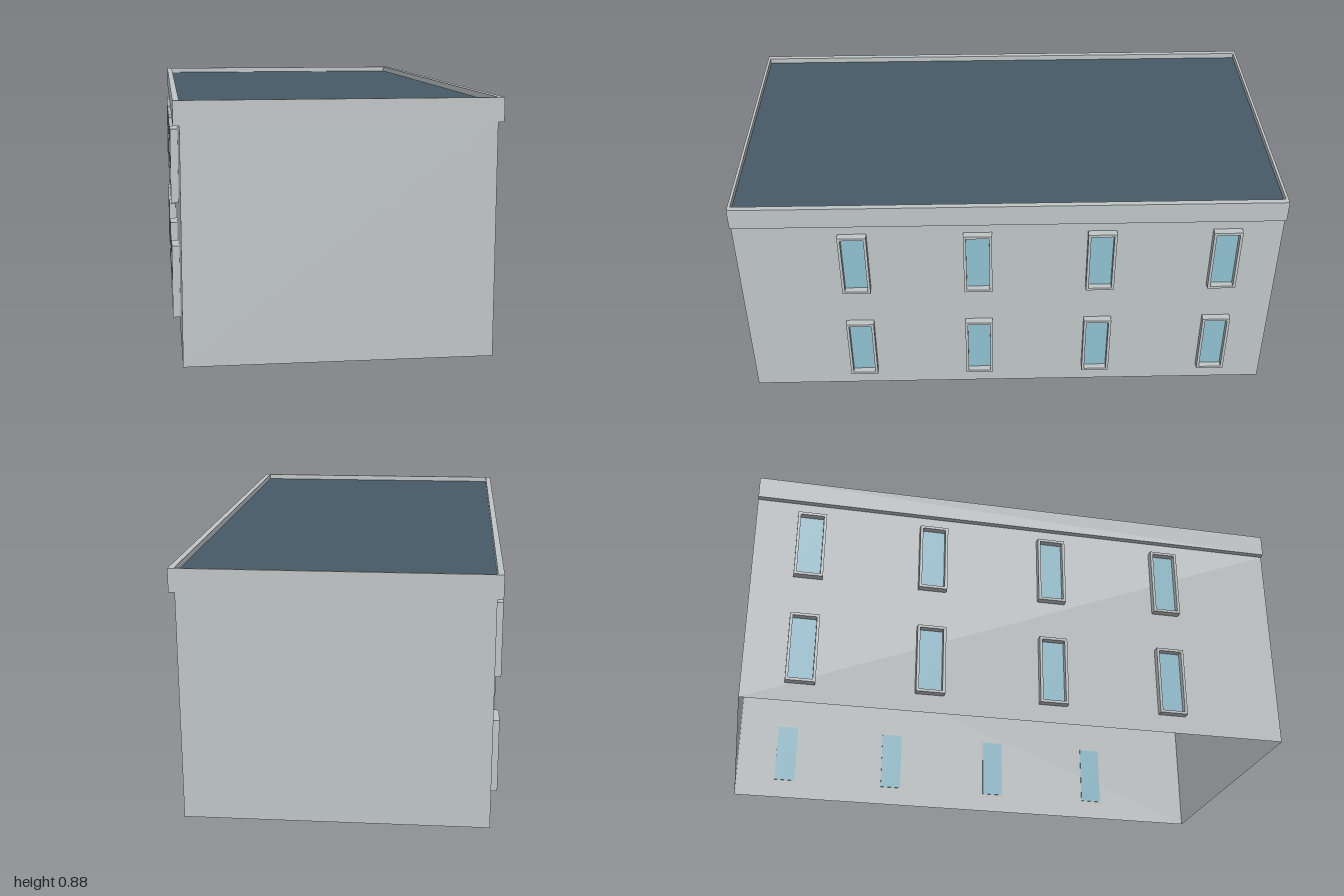
import * as THREE from 'three';

const HALF_X = 0.525, ROOF_X = 0.546, HALF_Z = 1, WALL_TOP = 0.8, TOP = 0.882;
const WIN_W = 0.105, WIN_H = 0.263, FRAME_DEPTH = 0.027, BORDER = 0.01;

// Rectangular ring: outer size w x h with a border bx, by, extruded along +z
function ring(w, h, bx, by, depth) {
  const shape = new THREE.Shape([
    new THREE.Vector2(-w / 2, -h / 2), new THREE.Vector2(w / 2, -h / 2),
    new THREE.Vector2(w / 2, h / 2), new THREE.Vector2(-w / 2, h / 2),
  ]);
  const a = w / 2 - bx, b = h / 2 - by;
  shape.holes.push(new THREE.Path([
    new THREE.Vector2(-a, -b), new THREE.Vector2(-a, b),
    new THREE.Vector2(a, b), new THREE.Vector2(a, -b),
  ]));
  return new THREE.ExtrudeGeometry(shape, { depth, bevelEnabled: false });
}

export function createModel() {
  const model = new THREE.Group();
  model.name = 'building';

  const concrete = new THREE.MeshStandardMaterial({ color: 0xbfc4c5, side: THREE.DoubleSide });
  concrete.name = 'concrete';
  const glass = new THREE.MeshStandardMaterial({ color: 0x90c0d0 });
  glass.name = 'glass';
  const roofing = new THREE.MeshStandardMaterial({ color: 0x455a66 });
  roofing.name = 'roofing';

  const add = (parent, name, geometry, material, x = 0, y = 0, z = 0) => {
    const mesh = new THREE.Mesh(geometry, material);
    mesh.name = name;
    mesh.position.set(x, y, z);
    parent.add(mesh);
    return mesh;
  };

  // Thin outer walls, open underneath
  for (const s of [1, -1]) {
    const end = add(model, s > 0 ? 'frontWall' : 'backWall',
      new THREE.PlaneGeometry(HALF_X * 2, WALL_TOP), concrete, 0, WALL_TOP / 2, s * HALF_Z);
    end.rotation.y = s > 0 ? 0 : Math.PI;
    const side = add(model, s > 0 ? 'leftWall' : 'rightWall',
      new THREE.PlaneGeometry(HALF_Z * 2, WALL_TOP), concrete, s * HALF_X, WALL_TOP / 2, 0);
    side.rotation.y = s * Math.PI / 2;
  }

  // Overhanging parapet, roof slab and sunken roof surface
  const parapet = add(model, 'parapet',
    ring(ROOF_X * 2, HALF_Z * 2, 0.021, 0.01, TOP - WALL_TOP), concrete, 0, WALL_TOP, 0);
  parapet.rotation.x = -Math.PI / 2;
  const roofW = (ROOF_X - 0.021) * 2, roofL = (HALF_Z - 0.01) * 2;
  add(model, 'ceilingSlab', new THREE.BoxGeometry(roofW, 0.05, roofL), concrete, 0, WALL_TOP + 0.025, 0);
  add(model, 'roofSurface', new THREE.BoxGeometry(roofW, 0.009, roofL), roofing, 0, 0.857, 0);

  // Two rows of four framed windows on each long side
  const frameGeometry = ring(WIN_W, WIN_H, BORDER, BORDER, FRAME_DEPTH);
  const paneGeometry = new THREE.BoxGeometry(WIN_W - BORDER * 2, WIN_H - BORDER * 2, 0.006);
  for (const s of [1, -1]) {
    for (const y of [0.2, 0.62]) {
      for (const z of [0.57, 0.115, -0.34, -0.797]) {
        const win = new THREE.Group();
        win.name = 'window';
        win.position.set(s * HALF_X, y, z);
        win.rotation.y = s * Math.PI / 2;
        add(win, 'windowFrame', frameGeometry, concrete);
        add(win, 'windowPane', paneGeometry, glass);
        model.add(win);
      }
    }
  }
  return model;
}
